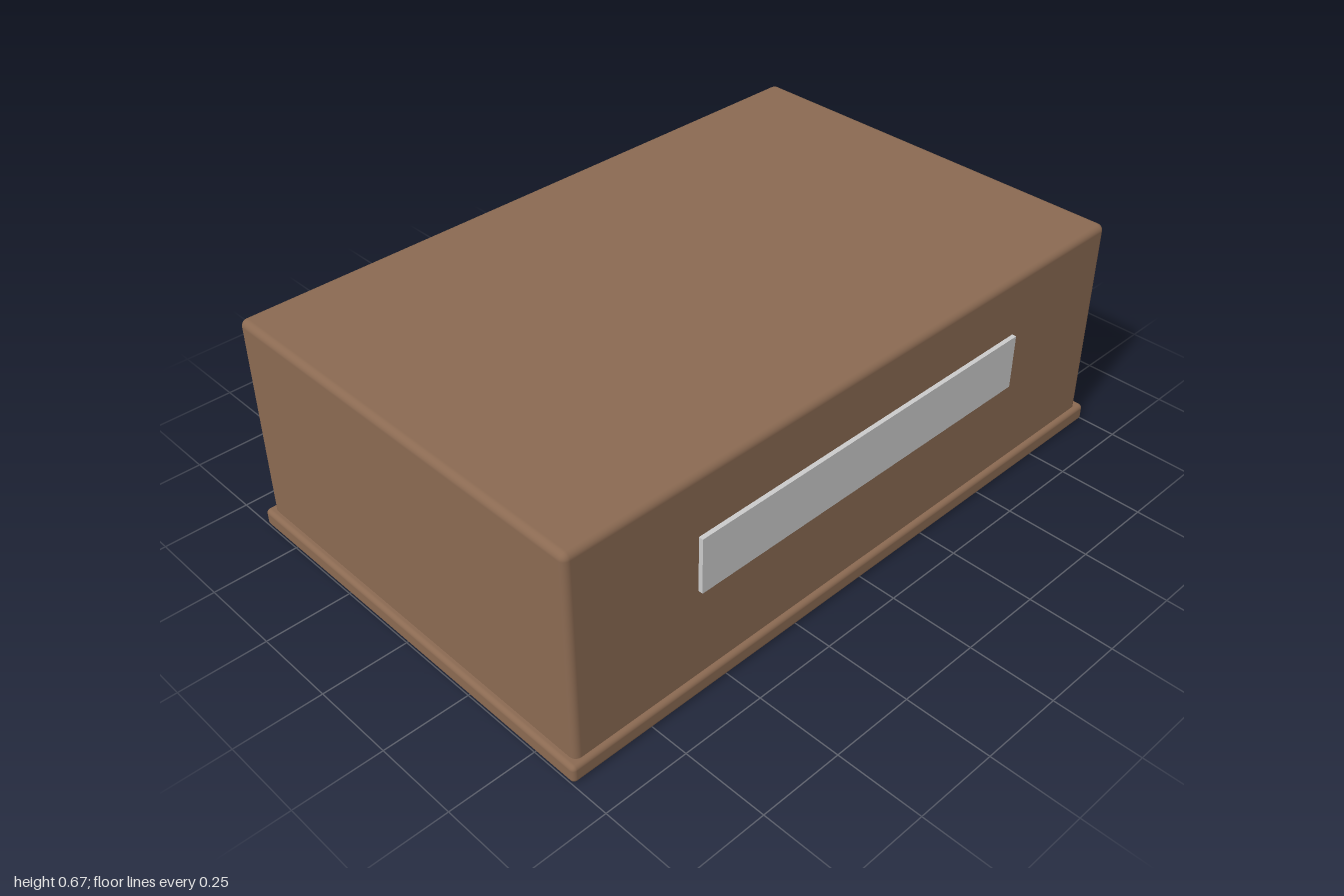
import * as THREE from 'three';
import { RoundedBoxGeometry } from 'three/addons/geometries/RoundedBoxGeometry.js';

export function createModel() {
  const model = new THREE.Group();
  model.name = 'box';
  const brown = new THREE.MeshStandardMaterial({ color: 0x8b6a52 });
  const grey = new THREE.MeshStandardMaterial({ color: 0xcccccc });

  const add = (name, geometry, material, y, z = 0) => {
    const mesh = new THREE.Mesh(geometry, material);
    mesh.name = name;
    mesh.position.set(0, y, z);
    model.add(mesh);
  };

  // Base plinth, slightly wider than the body
  add('base', new RoundedBoxGeometry(2, 0.053, 1.28, 3, 0.013), brown, 0.0265);

  // Main body with softly rounded edges, sunk a little into the base
  add('body', new RoundedBoxGeometry(1.96, 0.645, 1.25, 3, 0.02), brown, 0.3475);

  // Flat plate on the front
  add('frontPlate', new THREE.BoxGeometry(1.174, 0.165, 0.026), grey, 0.406, 0.625);

  return model;
}
